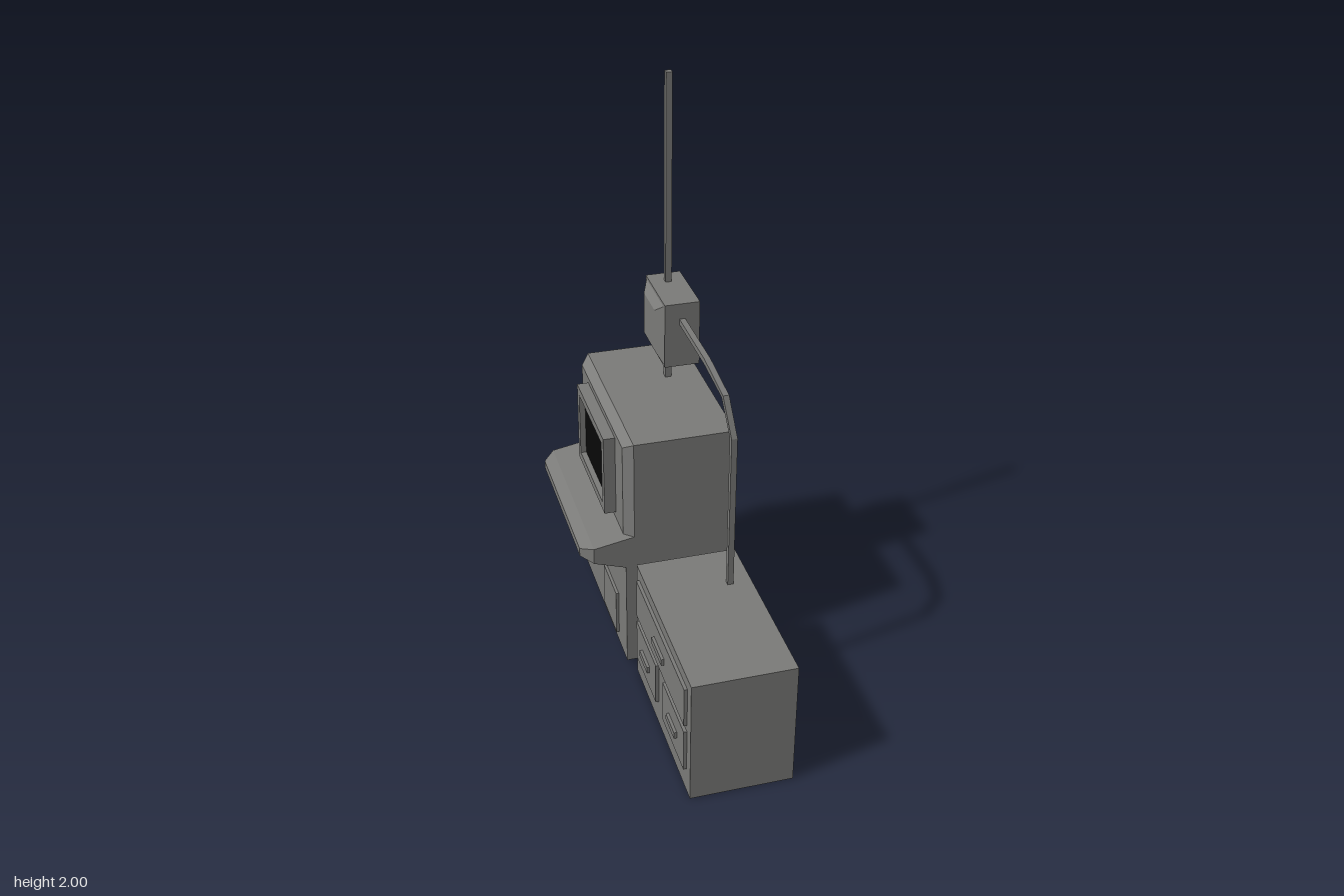
import * as THREE from 'three';
import { ConvexGeometry } from 'three/addons/geometries/ConvexGeometry.js';

const grey = new THREE.MeshStandardMaterial({ color: 0x7b7b79, flatShading: true });
grey.name = 'grey metal';
const black = new THREE.MeshStandardMaterial({ color: 0x080808 });
black.name = 'black glass';

function add(parent, name, geometry, material = grey) {
  const mesh = new THREE.Mesh(geometry, material);
  mesh.name = name;
  parent.add(mesh);
  return mesh;
}

// Box given by its lowest and highest corner
function box(parent, name, [x0, y0, z0], [x1, y1, z1], material) {
  const g = new THREE.BoxGeometry(x1 - x0, y1 - y0, z1 - z0);
  g.translate((x0 + x1) / 2, (y0 + y1) / 2, (z0 + z1) / 2);
  return add(parent, name, g, material);
}

// Tapered block between rectangles [x, y0, y1, z0, z1]
function taper(parent, name, ...rects) {
  const pts = [];
  for (const [x, y0, y1, z0, z1] of rects)
    for (const y of [y0, y1]) for (const z of [z0, z1]) pts.push(new THREE.Vector3(x, y, z));
  return add(parent, name, new ConvexGeometry(pts));
}

// Square pipe with mitred bends, bending mainly in the yz plane
function squarePipe(points, r) {
  const rings = points.map((p, i) => {
    const dir = (a, b) => new THREE.Vector2(b[2] - a[2], b[1] - a[1]).normalize();
    const a = i > 0 ? dir(points[i - 1], p) : dir(p, points[1]);
    const b = i < points.length - 1 ? dir(p, points[i + 1]) : a;
    const t = a.clone().add(b).normalize();
    const k = r / t.dot(a);
    return [[-r, -k], [r, -k], [r, k], [-r, k]].map(([u, v]) =>
      [p[0] + u, p[1] + v * t.x, p[2] - v * t.y]);
  });
  const pos = [];
  for (let i = 0; i < rings.length - 1; i++)
    for (let j = 0; j < 4; j++) {
      const n = (j + 1) % 4;
      const a = rings[i][j], b = rings[i][n], c = rings[i + 1][n], d = rings[i + 1][j];
      pos.push(...a, ...b, ...c, ...a, ...c, ...d);
    }
  const g = new THREE.BufferGeometry();
  g.setAttribute('position', new THREE.Float32BufferAttribute(pos, 3));
  g.computeVertexNormals();
  return g;
}

export function createModel() {
  const model = new THREE.Group();
  model.name = 'controlStation';

  // Console tower
  const tower = new THREE.Group();
  tower.name = 'console';
  model.add(tower);
  const zA = -0.655, zB = -0.007;
  box(tower, 'consoleBody', [-0.085, 0.03, zA], [0.26, 0.91, zB]);
  box(tower, 'lowerFront', [-0.115, 0.03, zA], [-0.085, 0.43, zB]);
  taper(tower, 'upperFront', [-0.085, 0.5, 0.91, zA, zB], [-0.115, 0.5, 0.885, -0.62, -0.042]);

  // Sloping desk with clipped corners
  taper(tower, 'desk',
    [-0.085, 0.43, 0.55, zA, zB],
    [-0.115, 0.43, 0.545, zA, zB],
    [-0.225, 0.467, 0.525, zA, zB],
    [-0.265, 0.48, 0.51, zA + 0.04, zB - 0.04]);

  // Screen in a raised frame
  const w = 0.385, h = 0.295, m = 0.03;
  const shape = new THREE.Shape([[-w, -h], [w, -h], [w, h], [-w, h]]
    .map(([x, y]) => new THREE.Vector2(x / 2, y / 2)));
  shape.holes.push(new THREE.Path([[-1, -1], [-1, 1], [1, 1], [1, -1]]
    .map(([x, y]) => new THREE.Vector2(x * (w / 2 - m), y * (h / 2 - m)))));
  const frame = new THREE.ExtrudeGeometry(shape, { depth: 0.04, bevelEnabled: false });
  frame.rotateY(-Math.PI / 2);
  frame.translate(-0.115, 0.7175, -0.3325);
  add(tower, 'screenFrame', frame);
  box(tower, 'screen', [-0.135, 0.6, -0.495], [-0.127, 0.835, -0.17], black);

  // Access panels
  box(tower, 'frontPanel', [-0.125, 0.07, -0.3], [-0.115, 0.24, -0.12]);
  box(tower, 'sidePanel', [-0.015, 0.07, -0.67], [0.155, 0.25, zA]);

  // Drawer cabinet
  const cabinet = new THREE.Group();
  cabinet.name = 'drawerCabinet';
  model.add(cabinet);
  box(cabinet, 'cabinetBody', [-0.085, 0, 0.02], [0.26, 0.455, 0.67]);
  const drawers = [
    [0.27, 0.415, 0.055, 0.63, 0.12],
    [0.09, 0.245, 0.055, 0.3, 0.095],
    [0.09, 0.245, 0.385, 0.63, 0.095],
  ];
  for (const [y0, y1, z0, z1, grip] of drawers) {
    const y = (y0 + y1) / 2, z = (z0 + z1) / 2;
    box(cabinet, 'drawerFront', [-0.096, y0, z0], [-0.085, y1, z1]);
    box(cabinet, 'drawerHandle', [-0.106, y - 0.012, z - grip / 2], [-0.096, y + 0.012, z + grip / 2]);
  }

  // Mast with junction box
  box(model, 'mast', [0.135, 0.91, -0.436], [0.156, 2, -0.414]);
  box(model, 'junctionBox', [0.085, 1.045, -0.485], [0.205, 1.275, -0.245]);
  taper(model, 'junctionBoxCover',
    [0.085, 1.05, 1.265, -0.475, -0.26], [0.065, 1.085, 1.235, -0.435, -0.3]);

  // Conduit from the junction box down to the cabinet
  add(model, 'conduit', squarePipe([
    [0.145, 1.21, -0.246], [0.145, 1.21, 0.035], [0.172, 1.14, 0.145],
    [0.186, 1.015, 0.197], [0.186, 0.455, 0.197],
  ], 0.01));

  return model;
}
